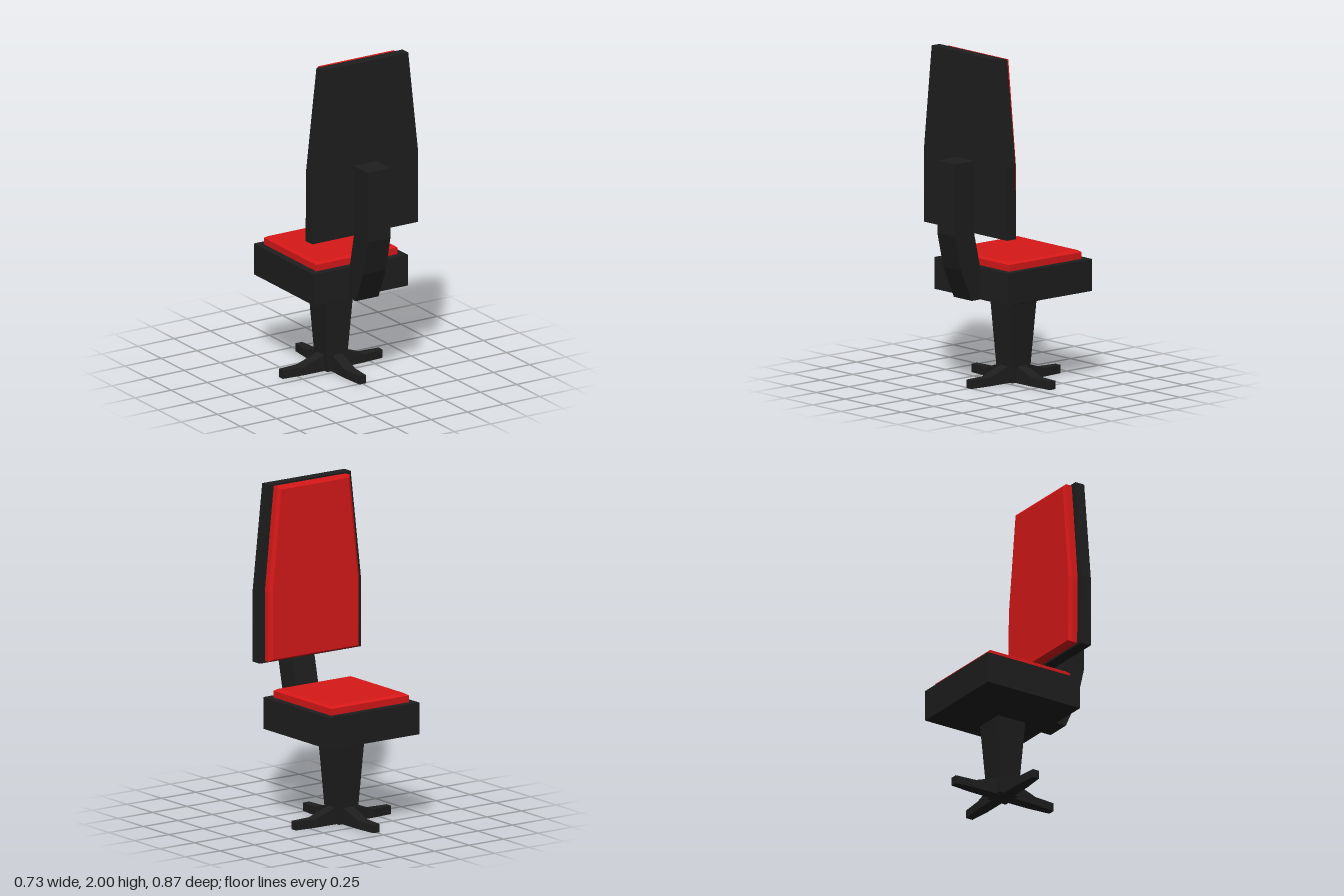
import * as THREE from 'three';

const dark = new THREE.MeshStandardMaterial({ color: 0x1e1e1e, flatShading: true });
const red = new THREE.MeshStandardMaterial({ color: 0xd81818, flatShading: true });
const CZ = -0.087; // centre of the seat, column and foot along z

// Skin convex rings of equal point count, ordered counter-clockwise seen from the last ring.
function loft(rings) {
  const n = rings[0].length, last = (rings.length - 1) * n, index = [];
  for (let r = 0; r < last; r += n) {
    for (let i = 0; i < n; i++) {
      const j = (i + 1) % n;
      index.push(r + i, r + j, r + n + j, r + i, r + n + j, r + n + i);
    }
  }
  for (let i = 1; i < n - 1; i++) {
    index.push(0, i + 1, i, last, last + i, last + i + 1);
  }
  const geometry = new THREE.BufferGeometry();
  geometry.setAttribute('position', new THREE.Float32BufferAttribute(rings.flat(2), 3));
  geometry.setIndex(index);
  const flat = geometry.toNonIndexed();
  flat.computeVertexNormals();
  return flat;
}

// Square section of half-width h at height y
const square = ([y, h]) => [[h, y, CZ + h], [h, y, CZ - h], [-h, y, CZ - h], [-h, y, CZ + h]];

// Section across a foot prong at distance x, from the floor to height y
const prongSection = ([x, y, w]) => [[x, 0, w], [x, 0, -w], [x, y, -w], [x, y, w]];

// Tapered backrest outline; lean tilts it slightly toward its top
const backOutline = (z, low, high, wide, narrow, lean) =>
  [[-wide, low], [wide, low], [wide, 1.37], [narrow, high], [-narrow, high], [-wide, 1.37]]
    .map(([x, y]) => [x, y, z + lean * (y - 0.94)]);

export function createModel() {
  const chair = new THREE.Group();
  chair.name = 'swivelChair';
  const add = (name, geometry, material, parent = chair) => {
    const mesh = new THREE.Mesh(geometry, material);
    mesh.name = name;
    parent.add(mesh);
    return mesh;
  };

  // Four-pronged foot
  const foot = new THREE.Group();
  foot.name = 'foot';
  foot.position.z = CZ;
  chair.add(foot);
  const prong = loft([[0, 0.105, 0.035], [0.07, 0.1, 0.035], [0.21, 0.05, 0.034], [0.345, 0.05, 0.022]].map(prongSection));
  for (let i = 0; i < 4; i++) {
    add('footProng', prong, dark, foot).rotation.y = i * Math.PI / 2;
  }

  // Column and the flared plate under the seat
  add('column', loft([[0.002, 0.066], [0.1, 0.071], [0.475, 0.095]].map(square)), dark);
  add('seatSupport', loft([[0.474, 0.095], [0.541, 0.25]].map(square)), dark);

  // Seat
  add('seatBase', loft([[0.54, 0.325], [0.73, 0.325]].map(square)), dark);
  add('seatCushion', loft([[0.73, 0.282], [0.77, 0.282], [0.782, 0.265]].map(square)), red);

  // Bent arm joining seat and backrest, drawn in z and y
  const armShape = new THREE.Shape([
    [0.235, 0.54], [0.305, 0.54], [0.387, 0.73], [0.434, 0.94],
    [0.434, 1.37], [0.28, 1.37], [0.287, 0.94], [0.24, 0.73],
  ].map(([z, y]) => new THREE.Vector2(z, y)));
  const arm = new THREE.ExtrudeGeometry(armShape, { depth: 0.158, bevelEnabled: false });
  arm.translate(0, 0, -0.079).rotateY(-Math.PI / 2);
  add('backrestArm', arm, dark);

  // Backrest
  add('backrestShell', loft([
    backOutline(0.215, 0.94, 2, 0.367, 0.298, 0.008),
    backOutline(0.285, 0.94, 2, 0.367, 0.298, 0),
  ]), dark);
  add('backrestCushion', loft([
    backOutline(0.163, 0.965, 1.975, 0.308, 0.243, 0.008),
    backOutline(0.182, 0.952, 1.99, 0.328, 0.261, 0),
    backOutline(0.222, 0.952, 1.99, 0.328, 0.261, 0),
  ]), red);

  return chair;
}
